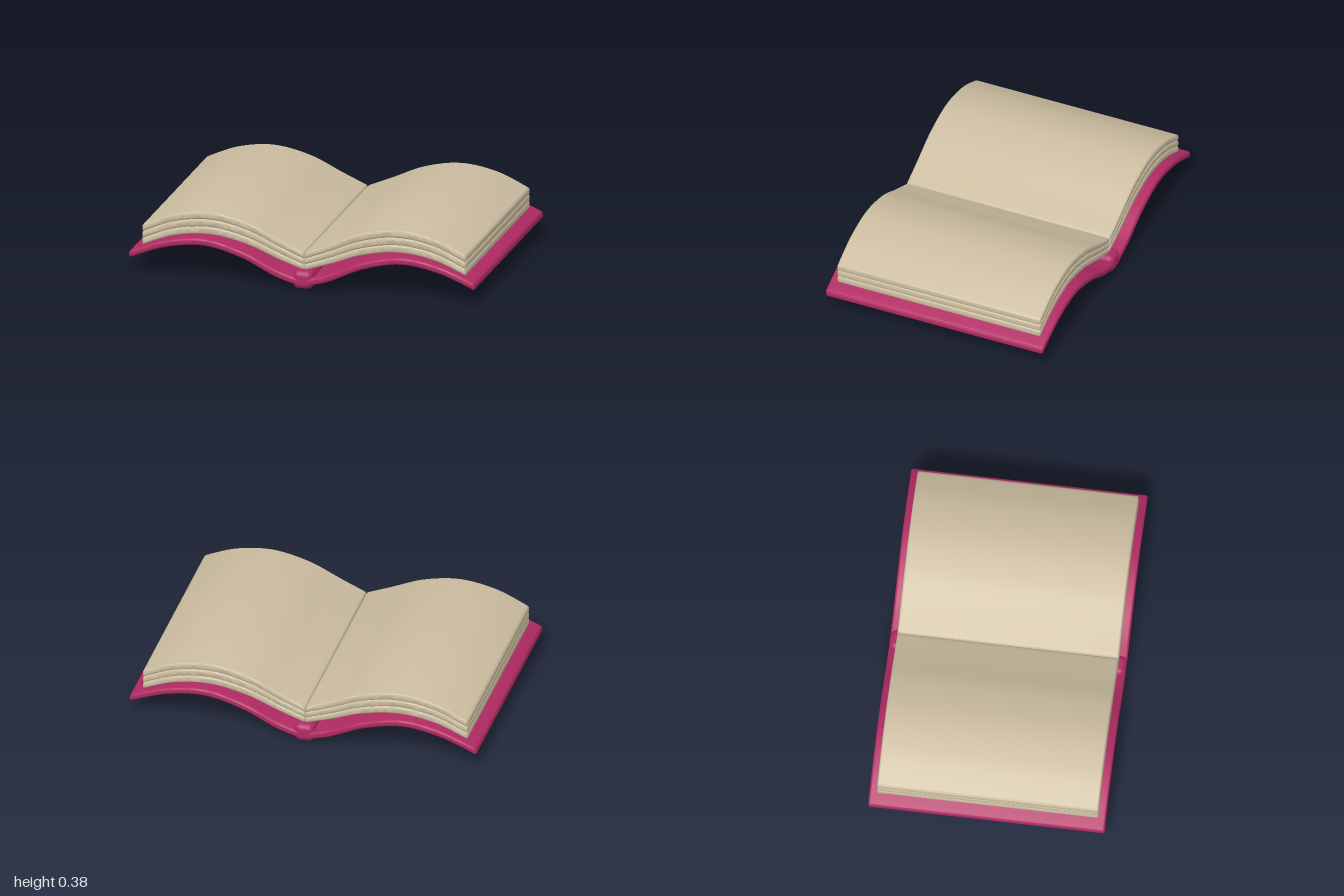
import * as THREE from 'three';
import { toCreasedNormals } from 'three/addons/utils/BufferGeometryUtils.js';
import { RoundedBoxGeometry } from 'three/addons/geometries/RoundedBoxGeometry.js';

const curve = (pts) => new THREE.SplineCurve(pts.map(([x, y]) => new THREE.Vector2(x, y)));

// Height of a curve at t, carried on along its tangent by dx
function heightAt(c, t, dx) {
  const tangent = c.getTangent(t);
  return c.getPoint(t).y + dx * tangent.y / tangent.x;
}

// Rounded rectangle in the z/y plane, running from +z towards +y
function ring(halfZ, halfY, r) {
  const out = [];
  [[1, 1], [-1, 1], [-1, -1], [1, -1]].forEach(([sz, sy], q) => {
    for (let i = 0; i <= 4; i++) {
      const a = (q + i / 4) * Math.PI / 2;
      out.push([sz * (halfZ - r) + r * Math.cos(a), sy * (halfY - r) + r * Math.sin(a)]);
    }
  });
  return out;
}

// Bent slab with rounded edges, filling the fractions from..to between two curves
function slab(top, bottom, from, to, halfZ, r, side) {
  const N = 40, M = 20;
  const bevel = [0, 1, 2, 3].map((i) => {
    const a = i * Math.PI / 8;
    return { dx: r * (1 - Math.cos(a)), inset: r * (1 - Math.sin(a)) };
  });
  const stations = bevel.map((b) => ({ t: 0, ...b }));
  for (let i = 1; i < N; i++) stations.push({ t: i / N, dx: 0, inset: 0 });
  bevel.reverse().forEach((b) => stations.push({ t: 1, dx: -b.dx, inset: b.inset }));

  const pos = [], idx = [];
  const tri = (a, b, c) => (side > 0 ? idx.push(a, b, c) : idx.push(a, c, b));
  const centres = stations.map(({ t, dx, inset }) => {
    const yA = heightAt(top, t, dx), yB = heightAt(bottom, t, dx);
    const yTop = yA + (yB - yA) * from, yBottom = yA + (yB - yA) * to;
    const x = side * (top.getPoint(t).x + dx), y = (yTop + yBottom) / 2;
    ring(halfZ - inset, (yTop - yBottom) / 2 - inset, Math.max(r - inset, 0.0005))
      .forEach(([z, h]) => pos.push(x, y + h, z));
    return [x, y, 0];
  });

  const last = stations.length - 1;
  for (let i = 0; i < last; i++) {
    for (let j = 0; j < M; j++) {
      const a = i * M + j, b = i * M + (j + 1) % M;
      tri(a, a + M, b);
      tri(b, a + M, b + M);
    }
  }
  // End caps
  const c = pos.length / 3;
  pos.push(...centres[0], ...centres[last]);
  for (let j = 0; j < M; j++) {
    const k = (j + 1) % M;
    tri(c, j, k);
    tri(c + 1, last * M + k, last * M + j);
  }
  const g = new THREE.BufferGeometry();
  g.setAttribute('position', new THREE.Float32BufferAttribute(pos, 3));
  g.setIndex(idx);
  return toCreasedNormals(g, 0.7);
}

export function createModel() {
  const book = new THREE.Group();
  book.name = 'openBook';
  const coverMat = new THREE.MeshStandardMaterial({ color: 0xb02a62 });
  coverMat.name = 'magentaCover';
  const paperMat = new THREE.MeshStandardMaterial({ color: 0xcbbda0 });
  paperMat.name = 'creamPaper';

  const add = (name, geometry, material) => {
    const mesh = new THREE.Mesh(geometry, material);
    mesh.name = name;
    book.add(mesh);
    return mesh;
  };

  const coverTop = curve([[0.02, 0.06], [0.16, 0.105], [0.35, 0.19], [0.57, 0.24], [0.79, 0.21], [1, 0.13]]);
  const coverBottom = curve([[0.02, 0.02], [0.16, 0.062], [0.35, 0.15], [0.57, 0.2], [0.79, 0.17], [1, 0.09]]);
  const pageTop = curve([[0, 0.2], [0.15, 0.265], [0.33, 0.345], [0.54, 0.385], [0.75, 0.355], [0.937, 0.275]]);
  const pageBottom = curve([[0, 0.1], [0.15, 0.15], [0.33, 0.218], [0.54, 0.255], [0.75, 0.23], [0.937, 0.157]]);

  // Spine
  add('spine', new RoundedBoxGeometry(0.116, 0.107, 1.32, 4, 0.035), coverMat).position.y = 0.0535;

  // Covers and three stacked page blocks on each side
  for (const [label, side] of [['left', 1], ['right', -1]]) {
    add(label + 'Cover', slab(coverTop, coverBottom, 0, 1, 0.66, 0.013, side), coverMat);
    for (let k = 0; k < 3; k++) {
      add(label + 'Pages' + (k + 1), slab(pageTop, pageBottom, k / 3, (k + 1) / 3, 0.617, 0.011, side), paperMat);
    }
  }
  return book;
}
